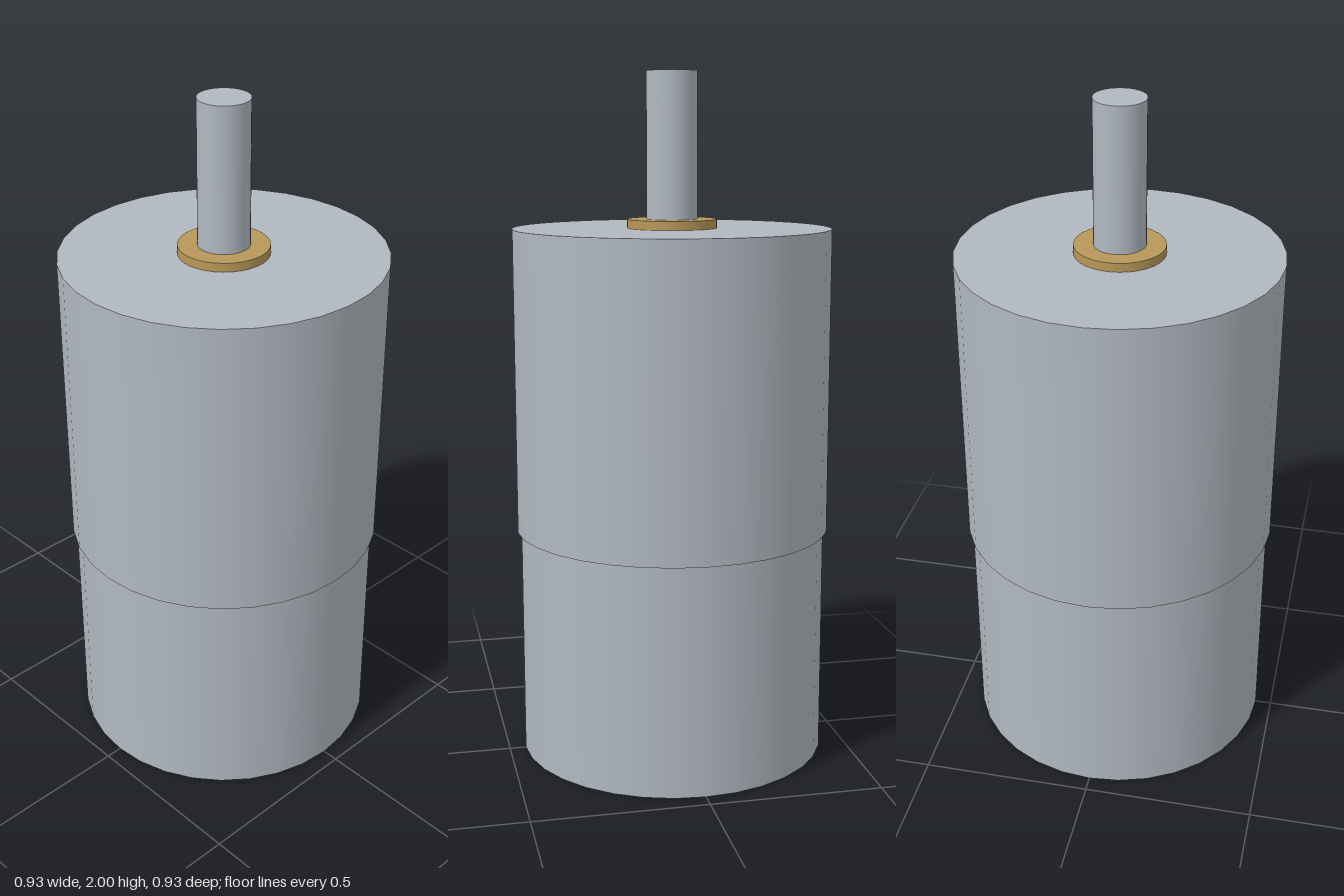
import * as THREE from 'three';

export function createModel() {
  const steel = new THREE.MeshStandardMaterial({ color: 0xb0b8c0 });
  steel.name = 'steel';
  const brass = new THREE.MeshStandardMaterial({ color: 0xb8975a });
  brass.name = 'brass';

  const model = new THREE.Group();
  model.name = 'gearMotor';

  // Upright cylinder spanning bottom..top
  function addCylinder(name, radius, bottom, top, material) {
    const geometry = new THREE.CylinderGeometry(radius, radius, top - bottom, 32);
    const mesh = new THREE.Mesh(geometry, material);
    mesh.name = name;
    mesh.position.y = (bottom + top) / 2;
    model.add(mesh);
  }

  addCylinder('motorCan', 0.452, 0, 0.67, steel);
  addCylinder('gearboxHousing', 0.463, 0.67, 1.556, steel);
  addCylinder('shaftBushing', 0.13, 1.556, 1.582, brass);
  addCylinder('outputShaft', 0.074, 1.556, 2, steel);

  return model;
}
